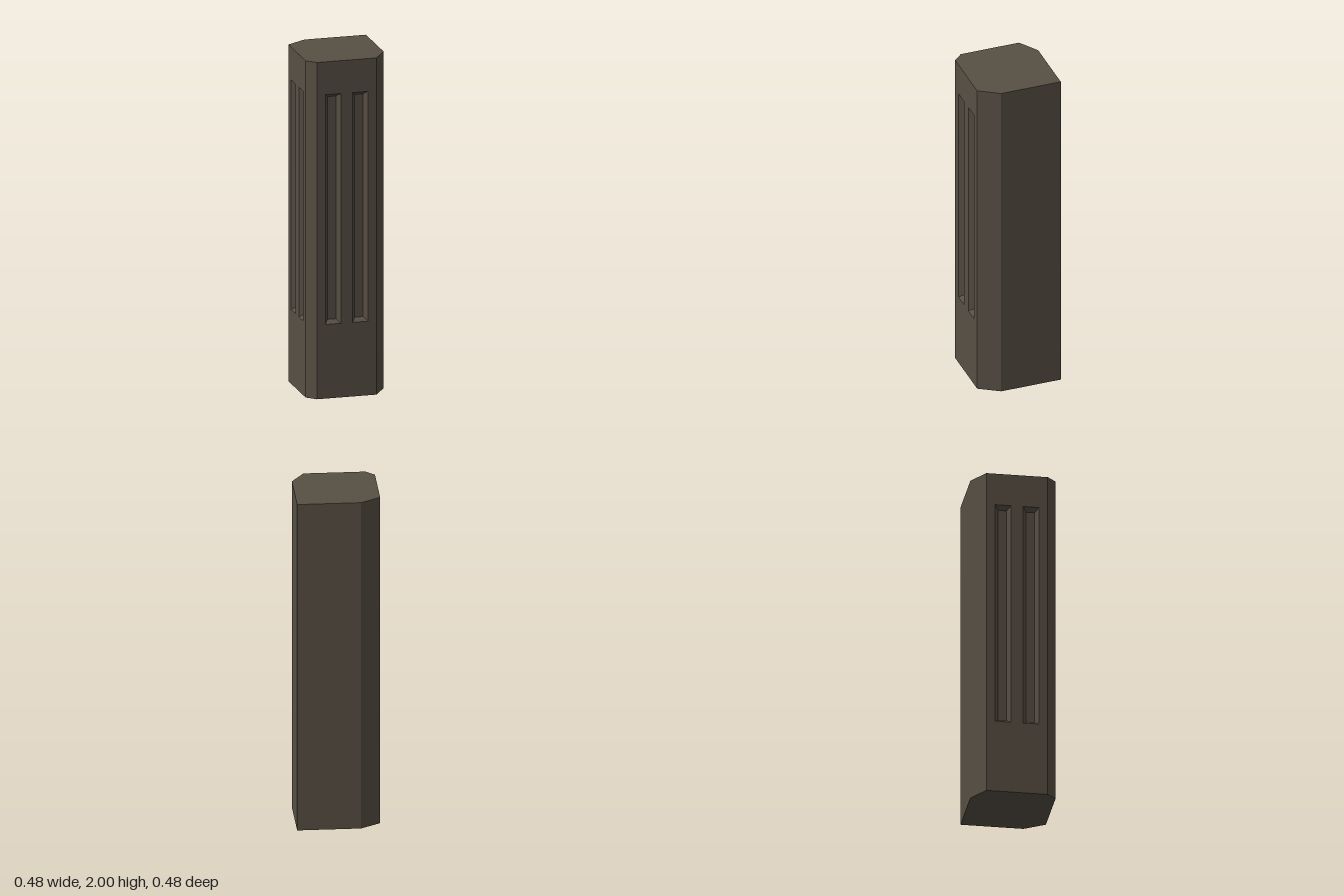
import * as THREE from 'three';

const HEIGHT = 2;
// Plan outline as [x, z], ordered so that every wall faces outward
const PLAN = [[-0.19, 0.241], [0.165, 0.241], [0.241, 0.123], [0.241, -0.241],
  [-0.125, -0.241], [-0.241, -0.167], [-0.241, 0.188]];
// Names of the grooved walls, by index of their first plan corner
const GROOVED_WALLS = { 0: 'frontWall', 5: 'rightWall' };
const GROOVE = { centres: [0.097, 0.259], halfWidth: 0.046, bottom: 0.44, top: 1.805, bevel: 0.021, depth: 0.03 };

// Corners of a rectangle, counter-clockwise
const rect = (x0, y0, x1, y1) => [[x0, y0], [x1, y0], [x1, y1], [x0, y1]];
const toPoints = (list) => list.map(([x, y]) => new THREE.Vector2(x, y));

// Recess with four sloped sides and a flat floor
function grooveGeometry(outer, inner, depth) {
  const positions = [];
  const quad = (a, b, c, d) => positions.push(...a, ...b, ...c, ...a, ...c, ...d);
  const rim = outer.map(([x, y]) => [x, y, 0]);
  const floor = inner.map(([x, y]) => [x, y, -depth]);
  for (let i = 0; i < 4; i++) {
    const j = (i + 1) % 4;
    quad(rim[i], rim[j], floor[j], floor[i]);
  }
  quad(...floor);
  const geometry = new THREE.BufferGeometry();
  geometry.setAttribute('position', new THREE.Float32BufferAttribute(positions, 3));
  geometry.computeVertexNormals();
  return geometry;
}

// One flat wall between two plan corners, with optional grooves
function makeWall([x0, z0], [x1, z1], grooved, material) {
  const wall = new THREE.Group();
  const length = Math.hypot(x1 - x0, z1 - z0);
  const shape = new THREE.Shape(toPoints(rect(0, 0, length, HEIGHT)));
  if (grooved) {
    const { centres, halfWidth: w, bottom, top, bevel: b, depth } = GROOVE;
    for (const c of centres) {
      const outer = rect(c - w, bottom, c + w, top);
      const inner = rect(c - w + b, bottom + b, c + w - b, top - b);
      shape.holes.push(new THREE.Path(toPoints(outer)));
      const groove = new THREE.Mesh(grooveGeometry(outer, inner, depth), material);
      groove.name = 'groove';
      wall.add(groove);
    }
  }
  const panel = new THREE.Mesh(new THREE.ShapeGeometry(shape), material);
  panel.name = 'wallPanel';
  wall.add(panel);
  wall.position.set(x0, 0, z0);
  wall.rotation.y = Math.atan2(z0 - z1, x1 - x0);
  return wall;
}

// Flat end of the pillar, facing up (1) or down (-1)
function makeCap(name, side, y, material) {
  const shape = new THREE.Shape(toPoints(PLAN.map(([x, z]) => [x, -side * z])));
  const geometry = new THREE.ShapeGeometry(shape).rotateX(-side * Math.PI / 2);
  const cap = new THREE.Mesh(geometry, material);
  cap.name = name;
  cap.position.y = y;
  return cap;
}

export function createModel() {
  const model = new THREE.Group();
  model.name = 'pillar';
  const stone = new THREE.MeshStandardMaterial({ color: 0x574f44, flatShading: true });

  // Walls and chamfers around the pillar
  PLAN.forEach((start, i) => {
    const wall = makeWall(start, PLAN[(i + 1) % PLAN.length], i in GROOVED_WALLS, stone);
    wall.name = GROOVED_WALLS[i] ?? 'plainWall';
    model.add(wall);
  });

  // Top and bottom
  model.add(makeCap('topCap', 1, HEIGHT, stone), makeCap('bottomCap', -1, 0, stone));
  return model;
}
